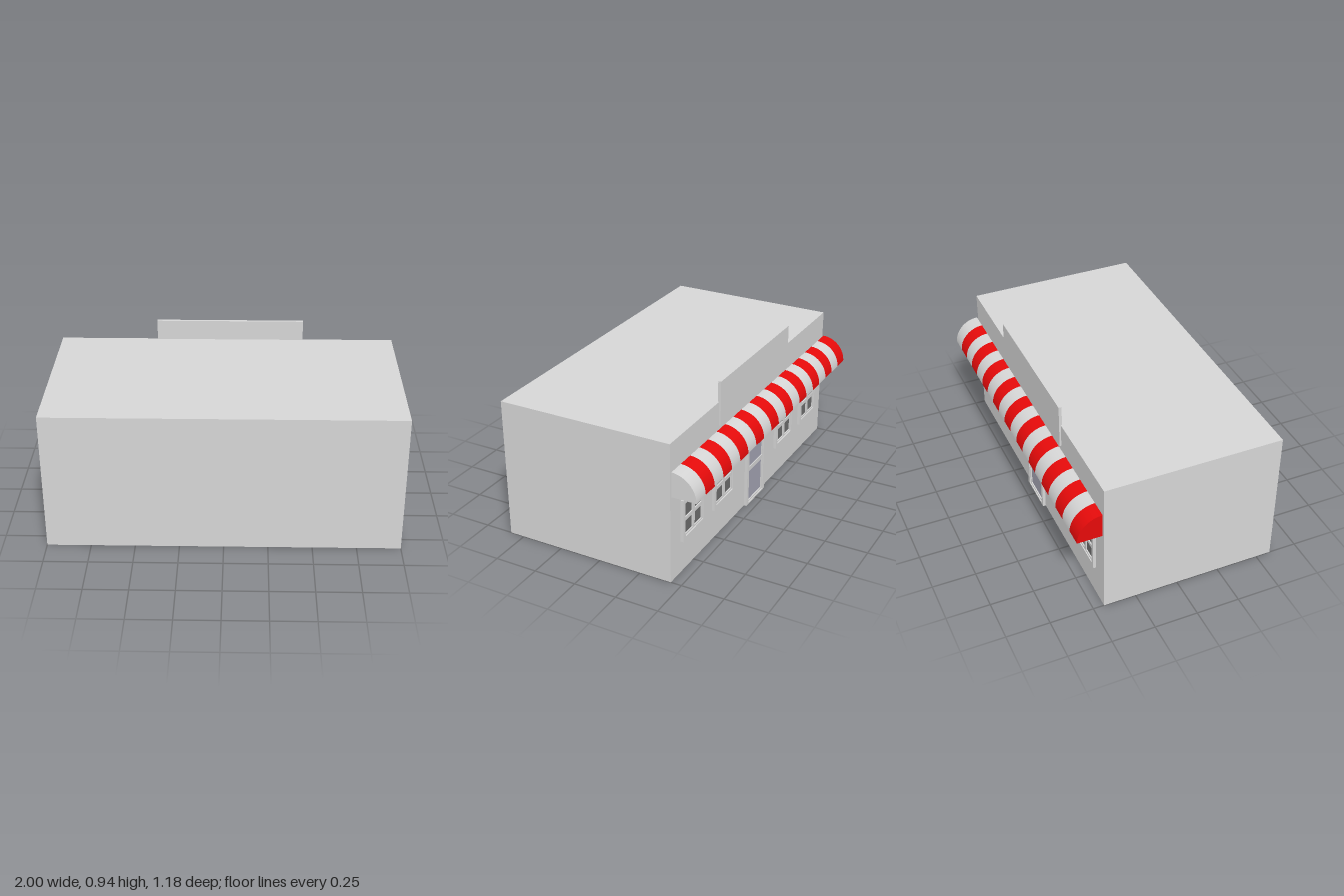
import * as THREE from 'three';

const material = (name, color) => {
  const m = new THREE.MeshStandardMaterial({ color });
  m.name = name;
  return m;
};

export function createModel() {
  const plaster = material('pale grey', 0xd6d6d6);
  const red = material('awning red', 0xe60a0a);
  const pane = material('dark window glass', 0x6d6d6d);
  const doorGlass = material('bluish door glass', 0xa3a3b2);

  const WALL = -0.437; // plane of the shop face
  const shop = new THREE.Group();
  shop.name = 'shop';

  // Box given by its extents
  function block(parent, name, mat, x0, x1, y0, y1, z0, z1) {
    const mesh = new THREE.Mesh(new THREE.BoxGeometry(x1 - x0, y1 - y0, z1 - z0), mat);
    mesh.position.set((x0 + x1) / 2, (y0 + y1) / 2, (z0 + z1) / 2);
    mesh.name = name;
    parent.add(mesh);
  }

  // Rectangular frame with a hole for each pane, standing out from the wall
  function frame(parent, name, w, h, holes, depth) {
    const rect = (Type, x0, y0, x1, y1) => new Type([
      new THREE.Vector2(x0, y0), new THREE.Vector2(x1, y0),
      new THREE.Vector2(x1, y1), new THREE.Vector2(x0, y1)]);
    const shape = rect(THREE.Shape, -w / 2, 0, w / 2, h);
    holes.forEach(r => shape.holes.push(rect(THREE.Path, ...r)));
    const geo = new THREE.ExtrudeGeometry(shape, { depth, bevelEnabled: false });
    geo.translate(0, 0, -depth);
    const mesh = new THREE.Mesh(geo, mat0);
    mesh.name = name;
    parent.add(mesh);
  }
  const mat0 = plaster;

  // Building and sign board
  block(shop, 'building', plaster, -1, 1, 0, 0.82, WALL, 0.5875);
  block(shop, 'signBoard', plaster, -0.42, 0.46, 0.68, 0.94, -0.447, -0.43);

  // Striped quarter-round awning
  const awning = new THREE.Group();
  awning.name = 'awning';
  const R = 0.143, STRIPES = 20, step = 2 / STRIPES;
  const profile = new THREE.Shape();
  profile.moveTo(0, 0);
  profile.lineTo(R, 0);
  profile.absarc(0, 0, R, 0, Math.PI / 2, false);
  profile.lineTo(0, 0);
  const stripeGeo = new THREE.ExtrudeGeometry(profile, { depth: step, bevelEnabled: false, curveSegments: 20 });
  stripeGeo.rotateY(Math.PI / 2);
  for (let i = 0; i < STRIPES; i++) {
    const stripe = new THREE.Mesh(stripeGeo, i % 2 ? plaster : red);
    stripe.position.set(-1 + i * step, 0.52, -0.4445);
    stripe.name = 'awningStripe';
    awning.add(stripe);
  }
  shop.add(awning);

  // Four-pane windows
  for (const x of [-0.768, -0.408, 0.408, 0.765]) {
    const win = new THREE.Group();
    win.name = 'window';
    win.position.set(x, 0.19, WALL);
    const a = 0.101, b = 0.011; // sash opening and half glazing bar
    frame(win, 'windowFrame', 0.25, 0.25, [[-a, 0.125 - a, a, 0.125 + a]], 0.017);
    const holes = [];
    for (const sx of [-1, 1]) for (const sy of [-1, 1]) {
      const xs = [sx * b, sx * (a - 0.01)].sort((p, q) => p - q);
      const ys = [sy * b, sy * (a - 0.01)].sort((p, q) => p - q);
      holes.push([xs[0], 0.125 + ys[0], xs[1], 0.125 + ys[1]]);
    }
    frame(win, 'windowSash', 2 * a, 0.125 + a, holes, 0.011);
    block(win, 'windowGlass', pane, -a, a, 0.125 - a, 0.125 + a, -0.004, 0.001);
    shop.add(win);
  }

  // Glazed door with a middle rail
  const door = new THREE.Group();
  door.name = 'door';
  door.position.set(-0.005, 0, WALL);
  frame(door, 'doorFrame', 0.244, 0.44, [[-0.098, 0.008, 0.098, 0.416]], 0.017);
  frame(door, 'doorLeaf', 0.196, 0.416,
    [[-0.09, 0.018, 0.09, 0.215], [-0.09, 0.24, 0.09, 0.408]], 0.011);
  block(door, 'doorGlass', doorGlass, -0.098, 0.098, 0.008, 0.416, -0.004, 0.001);
  shop.add(door);

  return shop;
}
